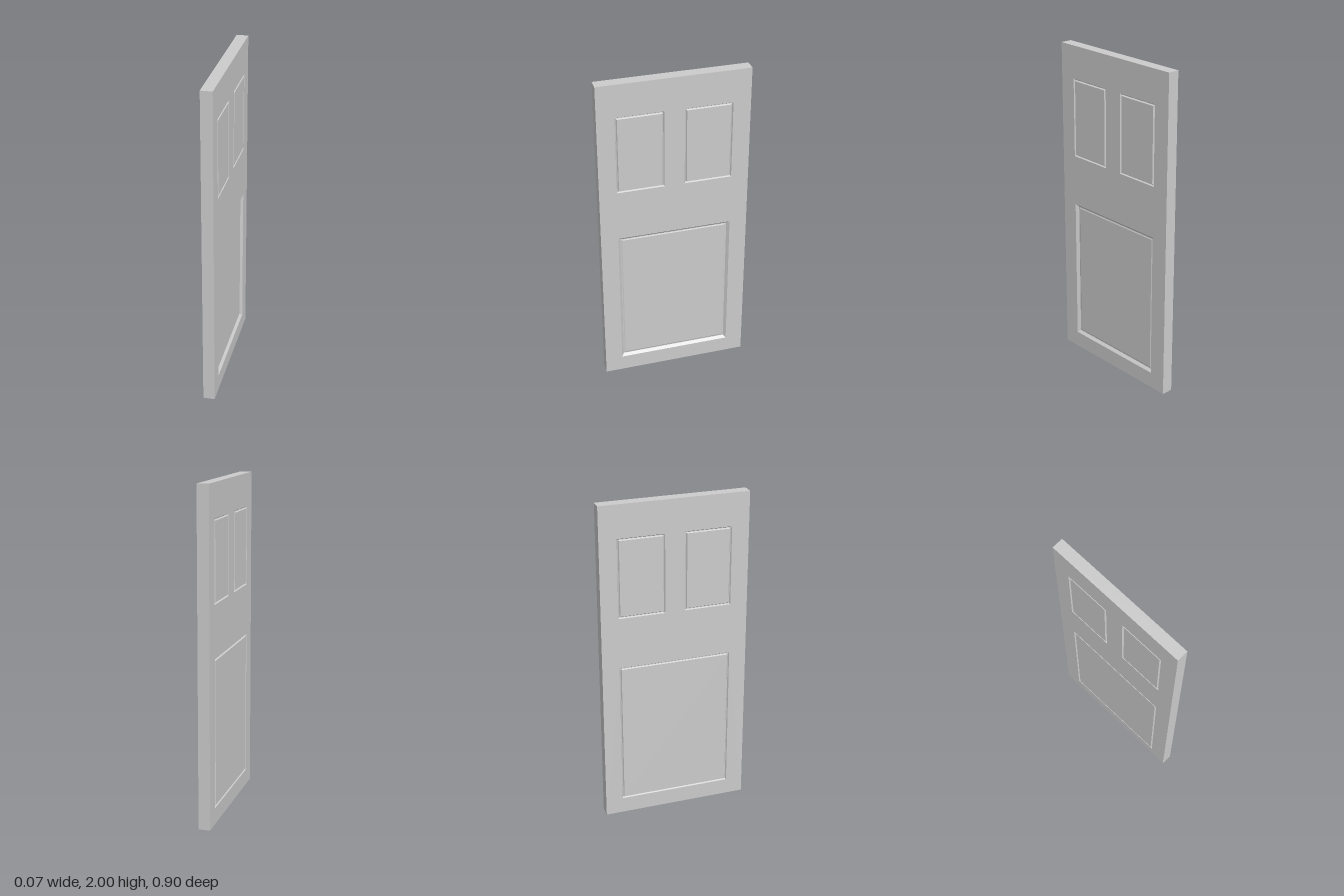
import * as THREE from 'three';

const W = 0.45, H = 2, T = 0.035; // half width, height, half thickness
const material = new THREE.MeshStandardMaterial({ color: 0xcccccc, flatShading: true });

// panel openings on one face: [u0, v0, u1, v1]
const upperPanels = [[-0.345, 1.315, -0.06, 1.8], [0.06, 1.315, 0.345, 1.8]];
const lowerPanel = [-0.345, 0.1, 0.345, 1.0];

// moulding profiles: [inset from opening, height relative to the face]
const groove = [[0, 0], [0.005, -0.008], [0.008, -0.008], [0.013, 0]];
const recess = [[0, 0], [0.015, -0.016], [0.02, -0.016], [0.026, -0.013]];

const corners = ([u0, v0, u1, v1], z) => [[u0, v0, z], [u1, v0, z], [u1, v1, z], [u0, v1, z]];

// skin nested rectangles, optionally closing the last one
function loft(loops, cap) {
  const pos = [];
  const quad = (a, b, c, d) => pos.push(...a, ...b, ...c, ...a, ...c, ...d);
  for (let k = 0; k + 1 < loops.length; k++) {
    for (let i = 0; i < 4; i++) {
      const j = (i + 1) % 4;
      quad(loops[k][i], loops[k][j], loops[k + 1][j], loops[k + 1][i]);
    }
  }
  if (cap) quad(...loops[loops.length - 1]);
  const geo = new THREE.BufferGeometry();
  geo.setAttribute('position', new THREE.Float32BufferAttribute(pos, 3));
  geo.computeVertexNormals();
  return geo;
}

function add(parent, name, geo) {
  const mesh = new THREE.Mesh(geo, material);
  mesh.name = name;
  parent.add(mesh);
  return mesh;
}

function panel(rect, profile) {
  const [u0, v0, u1, v1] = rect;
  return loft(profile.map(([d, h]) => corners([u0 + d, v0 + d, u1 - d, v1 - d], T + h)), true);
}

// one broad face: stiles and rails with three moulded panels
function doorFace(name, lowerProfile) {
  const face = new THREE.Group();
  face.name = name;
  const path = (rect) => corners(rect, 0).map(([u, v]) => new THREE.Vector2(u, v));
  const shape = new THREE.Shape(path([-W, 0, W, H]));
  for (const rect of [...upperPanels, lowerPanel]) shape.holes.push(new THREE.Path(path(rect)));
  add(face, 'stilesAndRails', new THREE.ShapeGeometry(shape)).position.z = T;
  upperPanels.forEach((rect, i) => add(face, 'upperPanel' + (i + 1), panel(rect, groove)));
  add(face, 'lowerPanel', panel(lowerPanel, lowerProfile));
  return face;
}

export function createModel() {
  const door = new THREE.Group();
  door.name = 'door';

  // broad faces look along +x and -x
  const left = doorFace('leftFace', recess);
  left.rotation.y = Math.PI / 2;
  const right = doorFace('rightFace', groove);
  right.rotation.y = -Math.PI / 2;
  door.add(left, right);

  // narrow edges around the slab
  const slab = [-W, 0, W, H];
  add(door, 'doorEdges', loft([corners(slab, -T), corners(slab, T)], false)).rotation.y = Math.PI / 2;
  return door;
}
